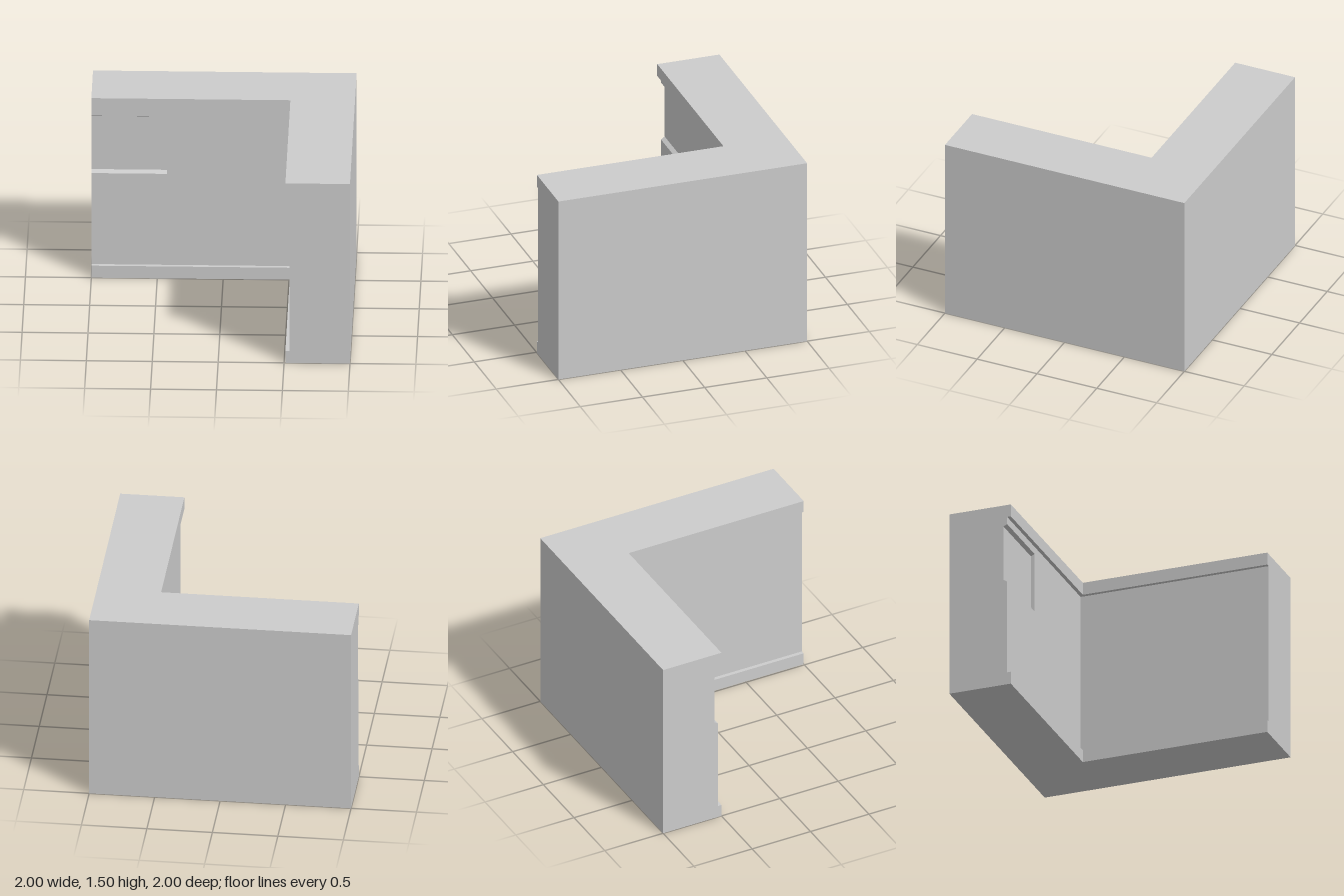
import * as THREE from 'three';

const BACK_FACE = -0.53;   // inner face of the back wall
const SIDE_FACE = 0.54;    // inner face of the side wall
const NICHE_X = -0.425;    // inner end of the niche
const TRIM = 0.1, TOP = 1.5;

function toShape(points) {
  return new THREE.Shape(points.map(([x, y]) => new THREE.Vector2(x, y)));
}

// L-shaped slab seen from above, running from height y0 to y1
function cornerSlab(left, innerX, innerZ, y0, y1) {
  const plan = toShape([
    [left, 1], [left, -innerZ], [innerX, -innerZ], [innerX, -1], [1, -1], [1, 1],
  ]);
  const geometry = new THREE.ExtrudeGeometry(plan, { depth: y1 - y0, bevelEnabled: false });
  return geometry.rotateX(-Math.PI / 2).translate(0, y0, 0);
}

// Wall end with a shallow niche, drawn as a z-y section and run along x
function nicheSection() {
  const deep = -0.56;
  const section = toShape([
    [-1, TRIM], [BACK_FACE, TRIM], [BACK_FACE, 0.86], [deep, 0.88],
    [deep, 1.325], [BACK_FACE, 1.34], [BACK_FACE, TOP - TRIM], [-1, TOP - TRIM],
  ]);
  const geometry = new THREE.ExtrudeGeometry(section, { depth: 1 + NICHE_X, bevelEnabled: false });
  return geometry.rotateY(-Math.PI / 2).translate(NICHE_X, 0, 0);
}

export function createModel() {
  const plaster = new THREE.MeshStandardMaterial({ color: 0xcccccc });
  plaster.name = 'plaster grey';

  const model = new THREE.Group();
  model.name = 'cornerWall';
  const add = (name, geometry) => {
    const mesh = new THREE.Mesh(geometry, plaster);
    mesh.name = name;
    model.add(mesh);
  };

  // Projecting trims at the foot and the top
  add('baseTrim', cornerSlab(-1, 0.51, -0.5, 0, TRIM));
  add('topTrim', cornerSlab(-1, 0.51, -0.5, TOP - TRIM, TOP));

  // Wall between the trims, with the niche at its free end
  add('wallCore', cornerSlab(NICHE_X, SIDE_FACE, BACK_FACE, TRIM, TOP - TRIM));
  add('nicheWall', nicheSection());

  return model;
}
